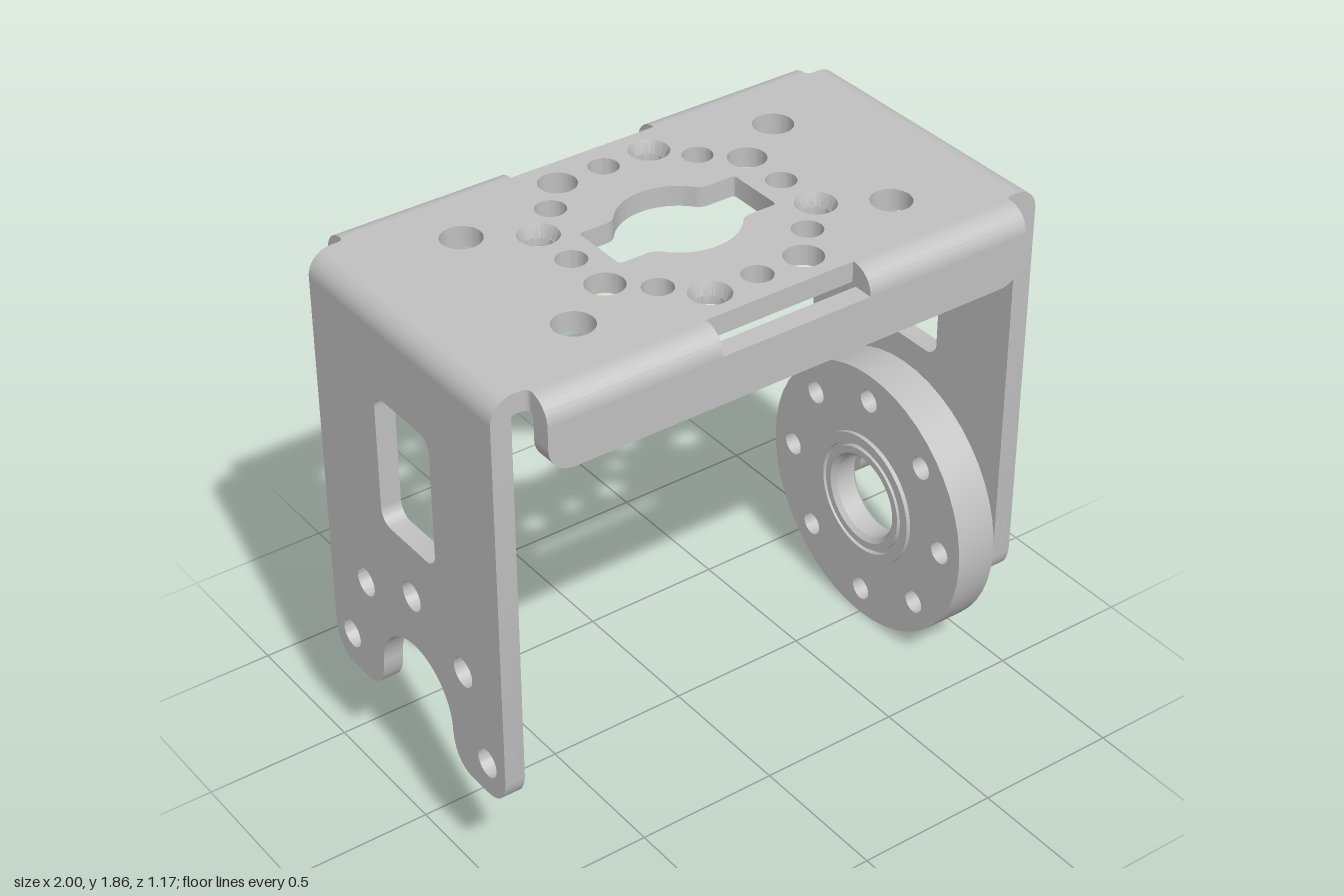
import * as THREE from 'three';
import { toCreasedNormals } from 'three/addons/utils/BufferGeometryUtils.js';

const T = 0.07;          // sheet thickness
const TOP = 1.855;       // height of the top face
const BEND_Y = 1.775;    // height of the bend axis
const HUB_Y = 0.49;      // height of the pivot axis

export function createModel() {
  const model = new THREE.Group();
  model.name = 'pivotBracket';
  const metal = new THREE.MeshStandardMaterial({ color: 0xc0c0c0 });
  metal.name = 'grey metal';

  const add = (name, geometry, parent = model) => {
    const mesh = new THREE.Mesh(toCreasedNormals(geometry, 0.5), metal);
    mesh.name = name;
    parent.add(mesh);
    return mesh;
  };
  const extrude = (shape, depth) =>
    new THREE.ExtrudeGeometry(shape, { depth, bevelEnabled: false, curveSegments: 24 });
  const hole = (shape, x, y, r) =>
    shape.holes.push(new THREE.Path().absarc(x, y, r, 0, Math.PI * 2, false));
  const lathe = (points) =>
    new THREE.LatheGeometry(points.map(([r, y]) => new THREE.Vector2(r, y)), 64);

  // Quarter-round sheet bend, running along z at distance d from the centre
  const bend = (d, length, offset) => {
    const s = new THREE.Shape();
    s.absarc(d, BEND_Y, 0.08, 0, Math.PI / 2, false);
    s.absarc(d, BEND_Y, 0.01, Math.PI / 2, 0, true);
    s.closePath();
    return extrude(s, length).translate(0, 0, offset - length / 2);
  };

  // Top plate outline with relief notches at the corners and slots at the flanges
  const plate = new THREE.Shape();
  const quarter = [
    [0.92, 0.487], [0.897, 0.487], [0.884, 0.49], [0.877, 0.497],
    [0.875, 0.505], [0.27, 0.505], [0.27, 0.5],
  ];
  const flip = (sx, sy) => quarter.map(([x, y]) => new THREE.Vector2(x * sx, y * sy));
  plate.setFromPoints([
    ...flip(1, 1), ...flip(-1, 1).reverse(),
    ...flip(-1, -1), ...flip(1, -1).reverse(),
  ]);

  // Central opening: a round hole with a rectangular slot across it
  const a = Math.asin(0.105 / 0.195) + 0.12;
  const ax = 0.195 * Math.cos(a), ay = 0.195 * Math.sin(a);
  const opening = new THREE.Path();
  opening.moveTo(0.29, -0.09);
  opening.lineTo(0.29, 0.09);
  opening.quadraticCurveTo(0.29, 0.105, 0.275, 0.105);
  opening.lineTo(0.195, 0.105);
  opening.quadraticCurveTo(0.165, 0.105, ax, ay);
  opening.absarc(0, 0, 0.195, a, Math.PI - a, false);
  opening.quadraticCurveTo(-0.165, 0.105, -0.195, 0.105);
  opening.lineTo(-0.275, 0.105);
  opening.quadraticCurveTo(-0.29, 0.105, -0.29, 0.09);
  opening.lineTo(-0.29, -0.09);
  opening.quadraticCurveTo(-0.29, -0.105, -0.275, -0.105);
  opening.lineTo(-0.195, -0.105);
  opening.quadraticCurveTo(-0.165, -0.105, -ax, -ay);
  opening.absarc(0, 0, 0.195, Math.PI + a, Math.PI * 2 - a, false);
  opening.quadraticCurveTo(0.165, -0.105, 0.195, -0.105);
  opening.lineTo(0.275, -0.105);
  opening.quadraticCurveTo(0.29, -0.105, 0.29, -0.09);
  plate.holes.push(opening);

  // Mounting holes, in plan coordinates (x, -z)
  for (const sx of [-1, 1]) for (const sy of [-1, 1]) hole(plate, sx * 0.585, sy * 0.293, 0.067);
  for (let i = 0; i < 8; i++) {
    const t = (i * Math.PI) / 4;
    hole(plate, 0.39 * Math.cos(t), 0.39 * Math.sin(t), 0.05);
  }
  for (let i = 0; i < 4; i++) {
    const c = Math.round(Math.cos((i * Math.PI) / 2)), s = Math.round(Math.sin((i * Math.PI) / 2));
    const turn = (x, y) => [x * c - y * s, x * s + y * c];
    hole(plate, ...turn(0.39, 0.172), 0.063);
    const [x, y] = turn(0.172, 0.39);
    hole(plate, x, y, 0.067);
    const sink = add('countersunkHole', lathe([
      [0.067, 0], [0.067, T], [0.052, 0.03], [0.05, 0.03], [0.05, 0], [0.067, 0],
    ]));
    sink.position.set(x, TOP - T, -y);
  }
  add('topPlate', extrude(plate, T).rotateX(-Math.PI / 2).translate(0, TOP - T, 0));

  // Leg outline with a forked lower end, window and bolt holes
  const leg = new THREE.Shape();
  leg.moveTo(-0.487, BEND_Y);
  leg.lineTo(-0.487, 0.47);
  leg.quadraticCurveTo(-0.478, 0.37, -0.38, 0.37);
  leg.lineTo(-0.3, 0.37);
  leg.quadraticCurveTo(-0.21, 0.375, -0.2, HUB_Y);
  leg.absarc(0, HUB_Y, 0.2, Math.PI, 0, true);
  leg.quadraticCurveTo(0.21, 0.375, 0.3, 0.37);
  leg.lineTo(0.38, 0.37);
  leg.quadraticCurveTo(0.478, 0.37, 0.487, 0.47);
  leg.lineTo(0.487, BEND_Y);
  leg.closePath();
  const win = new THREE.Path();
  win.absarc(0.1, 1.49, 0.05, 0, Math.PI / 2, false);
  win.absarc(-0.1, 1.49, 0.05, Math.PI / 2, Math.PI, false);
  win.absarc(-0.1, 1.125, 0.05, Math.PI, Math.PI * 1.5, false);
  win.absarc(0.1, 1.125, 0.05, Math.PI * 1.5, Math.PI * 2, false);
  win.closePath();
  leg.holes.push(win);
  for (let i = 0; i < 5; i++) {
    const t = (i * Math.PI) / 4;
    hole(leg, 0.39 * Math.cos(t), HUB_Y + 0.39 * Math.sin(t), 0.05);
  }
  for (const [side, angle] of [['left', 0], ['right', Math.PI]]) {
    const g = new THREE.Group();
    g.name = side + 'Leg';
    g.rotation.y = angle;
    add('legPlate', extrude(leg, T).rotateY(Math.PI / 2).translate(0.93, 0, 0), g);
    add('legBend', bend(0.92, 0.974, 0), g);
    model.add(g);
  }

  // Folded flanges at front and back, bends interrupted by a central slot
  const flange = new THREE.Shape();
  flange.moveTo(-0.875, BEND_Y);
  flange.lineTo(-0.875, 1.7);
  flange.absarc(-0.785, 1.7, 0.09, Math.PI, Math.PI * 1.5, false);
  flange.absarc(0.785, 1.7, 0.09, Math.PI * 1.5, Math.PI * 2, false);
  flange.lineTo(0.875, BEND_Y);
  flange.closePath();
  for (const [side, angle] of [['front', 0], ['back', Math.PI]]) {
    const g = new THREE.Group();
    g.name = side + 'Flange';
    g.rotation.y = angle;
    add('flangePlate', extrude(flange, T).translate(0, 0, 0.515), g);
    for (const s of [-1, 1])
      add('flangeBend', bend(0.505, 0.605, s * 0.5725).rotateY(-Math.PI / 2), g);
    model.add(g);
  }

  // Round pivot disc inside the left leg
  const disc = new THREE.Shape().absarc(0, HUB_Y, 0.49, 0, Math.PI * 2, false);
  hole(disc, 0, HUB_Y, 0.295);
  for (let i = 0; i < 8; i++) {
    const t = (i * Math.PI) / 4;
    hole(disc, 0.39 * Math.cos(t), HUB_Y + 0.39 * Math.sin(t), 0.041);
  }
  add('pivotDisc', extrude(disc, 0.148).rotateY(Math.PI / 2).translate(0.78, 0, 0));

  // Hub with bore, raised inner rim and stepped outer recess
  add('pivotHub', lathe([
    [0.24, 0.78], [0.295, 0.78], [0.295, 0.928], [0.27, 0.91], [0.27, 0.89],
    [0.24, 0.89], [0.24, 0.87], [0.165, 0.87], [0.15, 0.855], [0.15, 0.78],
    [0.165, 0.765], [0.19, 0.765], [0.19, 0.785], [0.205, 0.785], [0.205, 0.765],
    [0.24, 0.765], [0.24, 0.78],
  ]).rotateZ(-Math.PI / 2).translate(0, HUB_Y, 0));

  return model;
}
